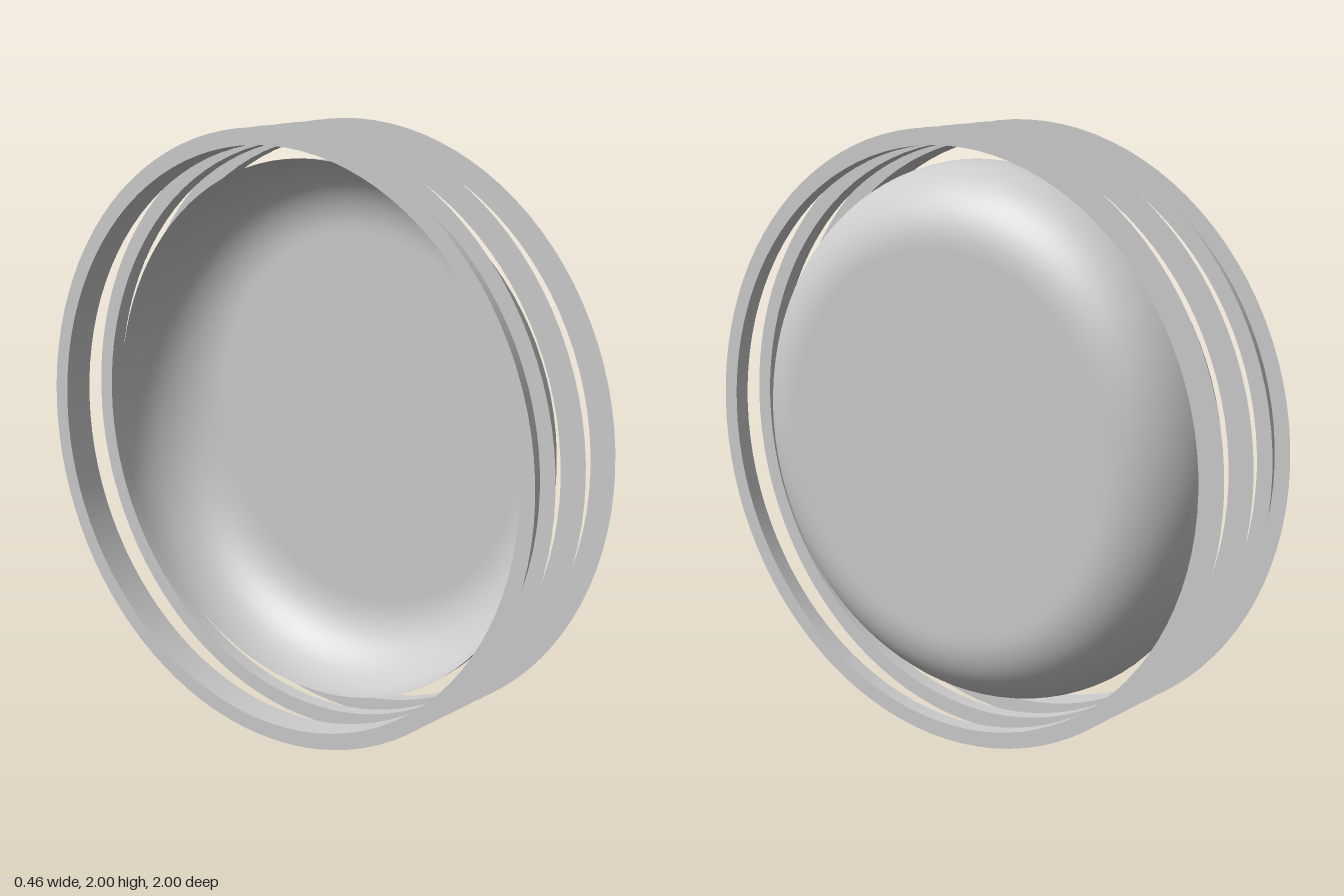
import * as THREE from 'three';

const material = new THREE.MeshStandardMaterial({ color: 0xcccccc, side: THREE.DoubleSide });
const SEGMENTS = 96;
const WALL_RADIUS = 0.946;
const FLANGE_RADIUS = 1;

function addMesh(parent, name, geometry) {
  const mesh = new THREE.Mesh(geometry, material);
  mesh.name = name;
  parent.add(mesh);
  return mesh;
}

// Outward-facing channel ring: a thin wall with a flat flange at each end
function createRing(name, x0, x1) {
  const ring = new THREE.Group();
  ring.name = name;
  const width = x1 - x0;
  const wall = new THREE.CylinderGeometry(WALL_RADIUS, WALL_RADIUS, width, SEGMENTS, 1, true);
  addMesh(ring, 'wall', wall.rotateZ(-Math.PI / 2));
  for (const side of [-1, 1]) {
    const flange = new THREE.RingGeometry(WALL_RADIUS, FLANGE_RADIUS, SEGMENTS);
    flange.rotateY(side * Math.PI / 2);
    flange.translate(side * width / 2, 0, 0);
    addMesh(ring, side < 0 ? 'rightFlange' : 'leftFlange', flange);
  }
  ring.position.x = (x0 + x1) / 2;
  return ring;
}

// Shallow open shell: a quarter-round edge running into a flat disc
function createDish() {
  const rimX = -0.026, bend = 0.254, flatRadius = 0.634;
  const profile = [];
  const steps = 20;
  for (let i = 0; i <= steps; i++) {
    const a = (i / steps) * Math.PI / 2;
    profile.push(new THREE.Vector2(flatRadius + bend * Math.cos(a), rimX + bend * Math.sin(a)));
  }
  profile.push(new THREE.Vector2(flatRadius * 0.98, rimX + bend));
  profile.push(new THREE.Vector2(0, rimX + bend));
  return new THREE.LatheGeometry(profile, SEGMENTS).rotateZ(-Math.PI / 2);
}

export function createModel() {
  const model = new THREE.Group();
  model.name = 'dishWithRings';
  const body = new THREE.Group();
  body.name = 'body';
  body.position.y = FLANGE_RADIUS;
  model.add(body);

  addMesh(body, 'dish', createDish());
  body.add(createRing('wideRing', -0.232, -0.127));
  body.add(createRing('middleRing', -0.018, 0.034));
  body.add(createRing('outerRing', 0.145, 0.198));
  return model;
}
